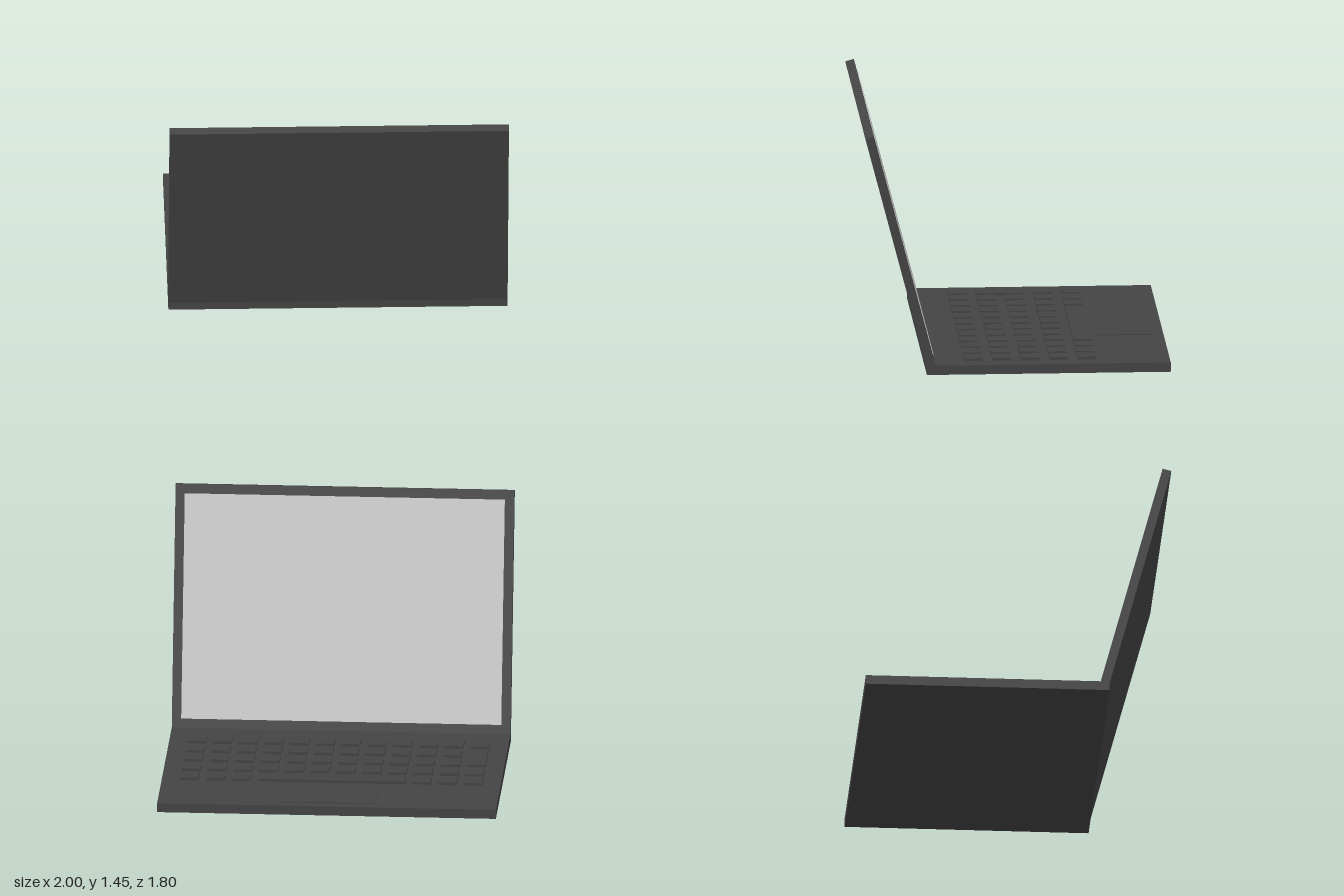
import * as THREE from 'three';

const dark = new THREE.MeshStandardMaterial({ color: 0x444444 });
const grey = new THREE.MeshStandardMaterial({ color: 0xcccccc });

// Box given by its size and centre
function box(name, parent, size, pos, material = dark) {
  const mesh = new THREE.Mesh(new THREE.BoxGeometry(...size), material);
  mesh.name = name;
  mesh.position.set(...pos);
  parent.add(mesh);
  return mesh;
}

export function createModel() {
  const laptop = new THREE.Group();
  laptop.name = 'laptop';

  // Base slab and slightly raised trackpad
  const baseTop = 0.056;
  box('base', laptop, [2, baseTop, 1.44], [0, baseTop / 2, -0.18]);
  box('trackpad', laptop, [0.56, 0.01, 0.33], [0, 0.057, -0.675]);

  // Keyboard: 12 columns by 5 rows, row 0 nearest the user
  const keyboard = new THREE.Group();
  keyboard.name = 'keyboard';
  laptop.add(keyboard);
  const pitchX = 0.152, pitchZ = 0.167, size = 0.11;
  function key(name, col, row, cols = 1, rows = 1) {
    const x = (col + (cols - 1) / 2 - 5.5) * pitchX;
    const z = -0.412 + (row + (rows - 1) / 2) * pitchZ;
    const width = size + (cols - 1) * pitchX;
    const depth = size + (rows - 1) * pitchZ;
    box(name, keyboard, [width, 0.022, depth], [x, 0.061, z]);
  }
  for (let row = 0; row < 5; row++) {
    for (let col = 0; col < 12; col++) {
      const inSpaceBar = row === 0 && col >= 3 && col <= 8;
      const inTallKey = col === 0 && (row === 2 || row === 3);
      if (!inSpaceBar && !inTallKey) key('key', col, row);
    }
  }
  key('spaceBar', 3, 0, 6, 1);
  key('tallKey', 0, 2, 1, 2);

  // Lid leaning back, hinged at its lower inner edge
  const lid = new THREE.Group();
  lid.name = 'lid';
  lid.position.set(0, 0.055, 0.487);
  lid.rotation.x = THREE.MathUtils.degToRad(14.7);
  laptop.add(lid);
  const height = 1.441, thick = 0.053, margin = 0.055;
  box('lidShell', lid, [2, height, thick], [0, height / 2, thick / 2]);
  box('screen', lid, [2 - 2 * margin, height - 2 * margin, 0.01], [0, height / 2, 0.001], grey);

  return laptop;
}
